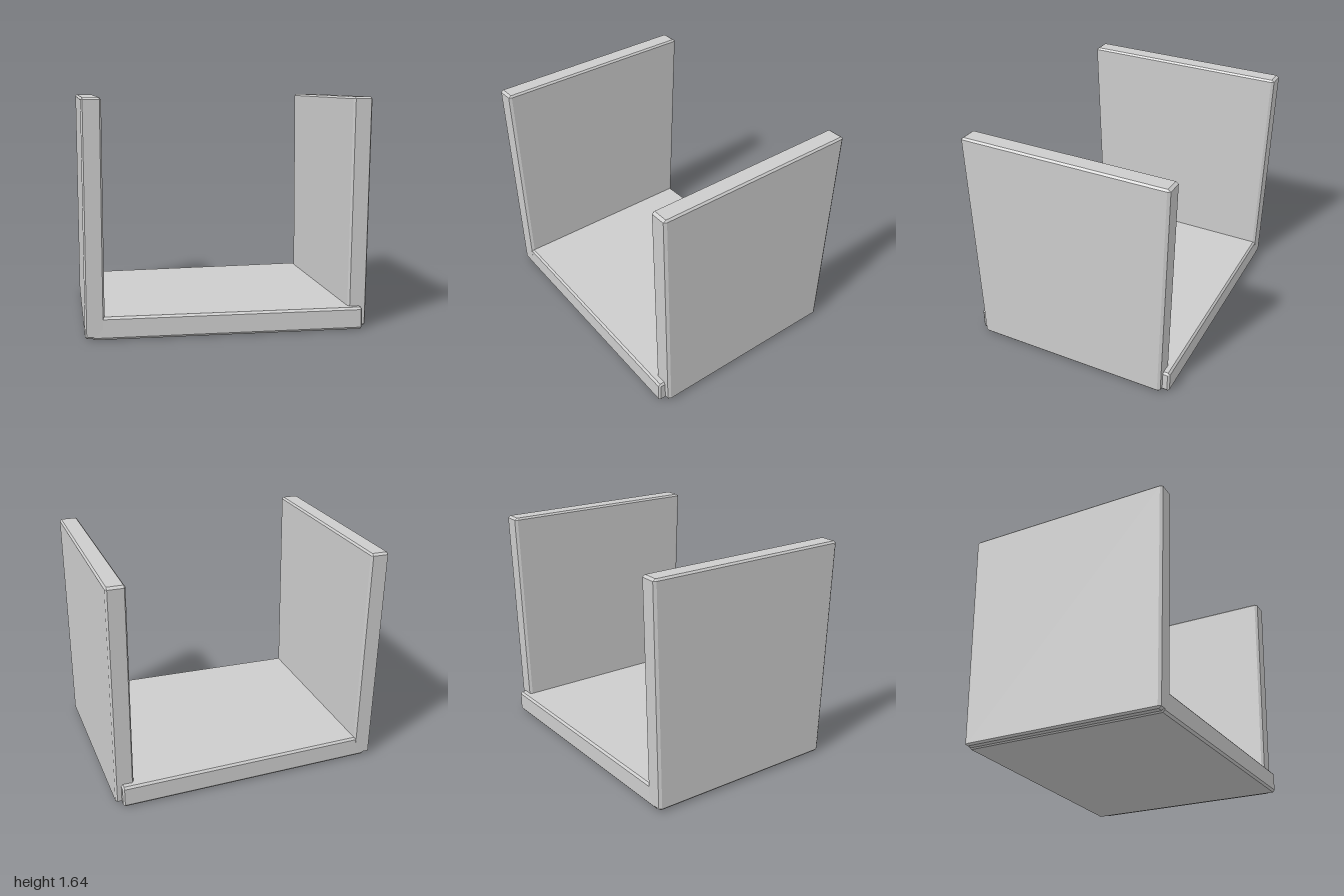
import * as THREE from 'three';
import { ConvexGeometry } from 'three/addons/geometries/ConvexGeometry.js';

const grey = new THREE.MeshStandardMaterial({ color: 0xcccccc });
grey.name = 'grey';

// Chamfered slab between two corners; halfDepth(x, y) gives the tapering z extent.
function slab(name, [x0, x1], [y0, y1], halfDepth, bevel) {
  const [bx, by, bz] = bevel;
  const points = [];
  for (const sx of [0, 1]) for (const sy of [0, 1]) for (const sz of [-1, 1]) {
    const x = sx ? x1 : x0, y = sy ? y1 : y0, z = sz * halfDepth(x, y);
    const ix = x + (sx ? -bx : bx), iy = y + (sy ? -by : by), iz = z - sz * bz;
    points.push(
      new THREE.Vector3(x, iy, iz),
      new THREE.Vector3(ix, y, iz),
      new THREE.Vector3(ix, iy, z),
    );
  }
  const mesh = new THREE.Mesh(new ConvexGeometry(points), grey);
  mesh.name = name;
  return mesh;
}

export function createModel() {
  const group = new THREE.Group();
  group.name = 'openChannel';

  // Upright walls, wider at the top
  const wallDepth = (x, y) => 0.732 + 0.041 * (y / 1.64);
  const wallBevel = [0.012, 0.014, 0.02];
  group.add(slab('rightWall', [-1, -0.865], [0.01, 1.645], wallDepth, wallBevel));
  group.add(slab('leftWall', [0.862, 0.998], [0.01, 1.645], wallDepth, wallBevel));

  // Floor, wider towards its left end
  const floorDepth = (x) => 0.758 + 0.026 * (x / 0.95);
  group.add(slab('floor', [-0.952, 0.955], [0, 0.16], floorDepth, [0.012, 0.016, 0.014]));

  return group;
}
